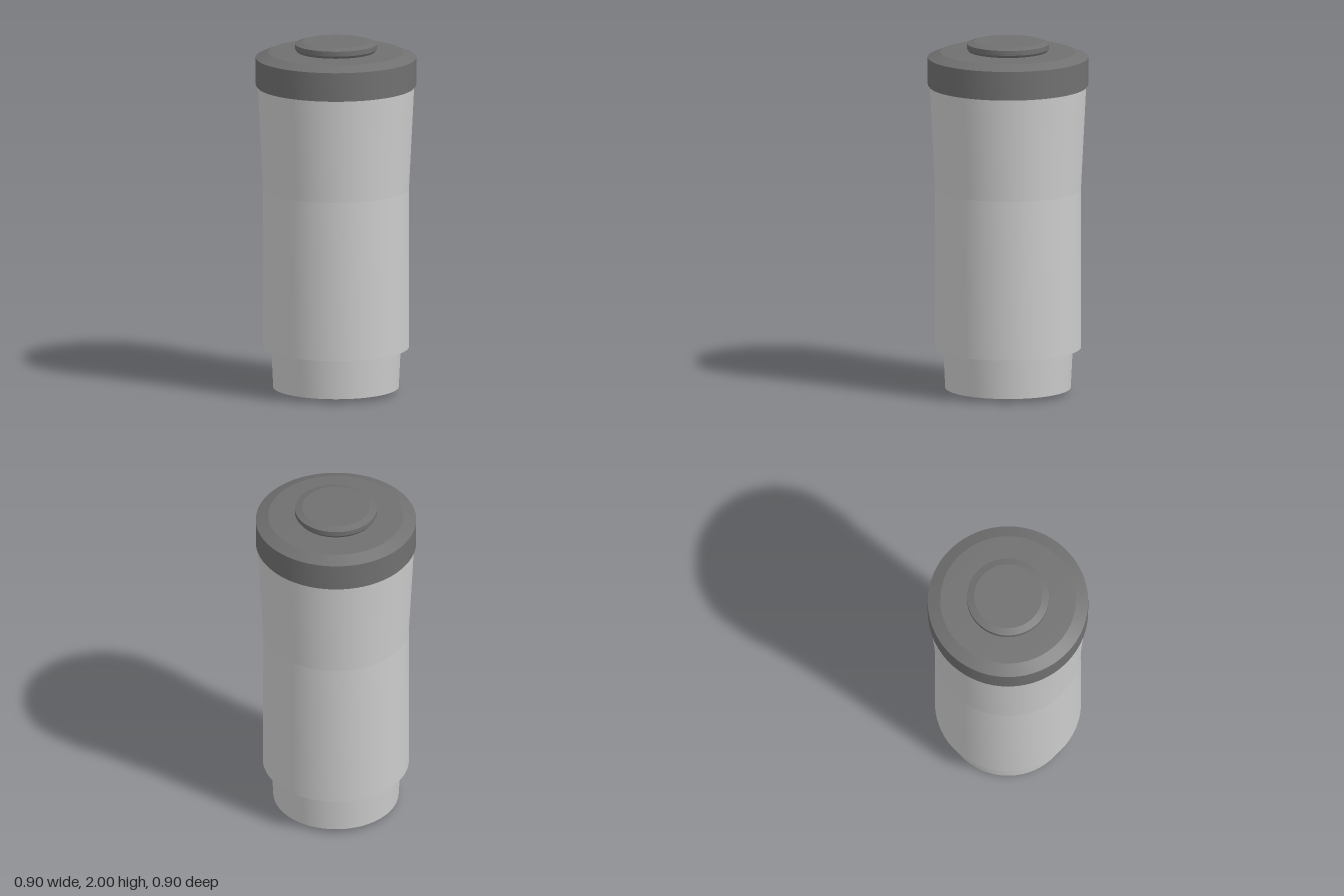
import * as THREE from 'three';
import { toCreasedNormals } from 'three/addons/utils/BufferGeometryUtils.js';

const grey = new THREE.MeshStandardMaterial({ color: 0xcccccc });
const greyOpen = new THREE.MeshStandardMaterial({ color: 0xcccccc, side: THREE.DoubleSide });
const dark = new THREE.MeshStandardMaterial({ color: 0x707070 });

// Turned part from [radius, height] pairs listed bottom to top
function turned(name, profile, material) {
  const points = profile.map(([r, y]) => new THREE.Vector2(r, y));
  const geometry = toCreasedNormals(new THREE.LatheGeometry(points, 64), 0.2);
  const mesh = new THREE.Mesh(geometry, material);
  mesh.name = name;
  return mesh;
}

export function createModel() {
  const model = new THREE.Group();
  model.name = 'travelCup';

  model.add(
    // Tapered body with a shallow conical underside
    turned('cupBody', [[0, 0], [0.352, 0.025], [0.44, 1.77]], grey),
    // Straight open sleeve; the body widens through it at the top
    turned('gripSleeve', [[0.41, 0.255], [0.41, 1.16]], greyOpen),
    // Lid with a small inner lip, bevelled shoulder and gently domed top
    turned('lid', [
      [0.43, 1.745], [0.442, 1.745], [0.442, 1.755], [0.45, 1.755],
      [0.45, 1.91], [0.38, 1.94], [0, 1.955],
    ], dark),
    // Bevelled cap in the middle of the lid
    turned('lidCap', [[0, 1.945], [0.22, 1.945], [0.23, 1.96], [0.23, 1.988], [0.19, 2], [0, 2]], dark),
  );
  return model;
}
